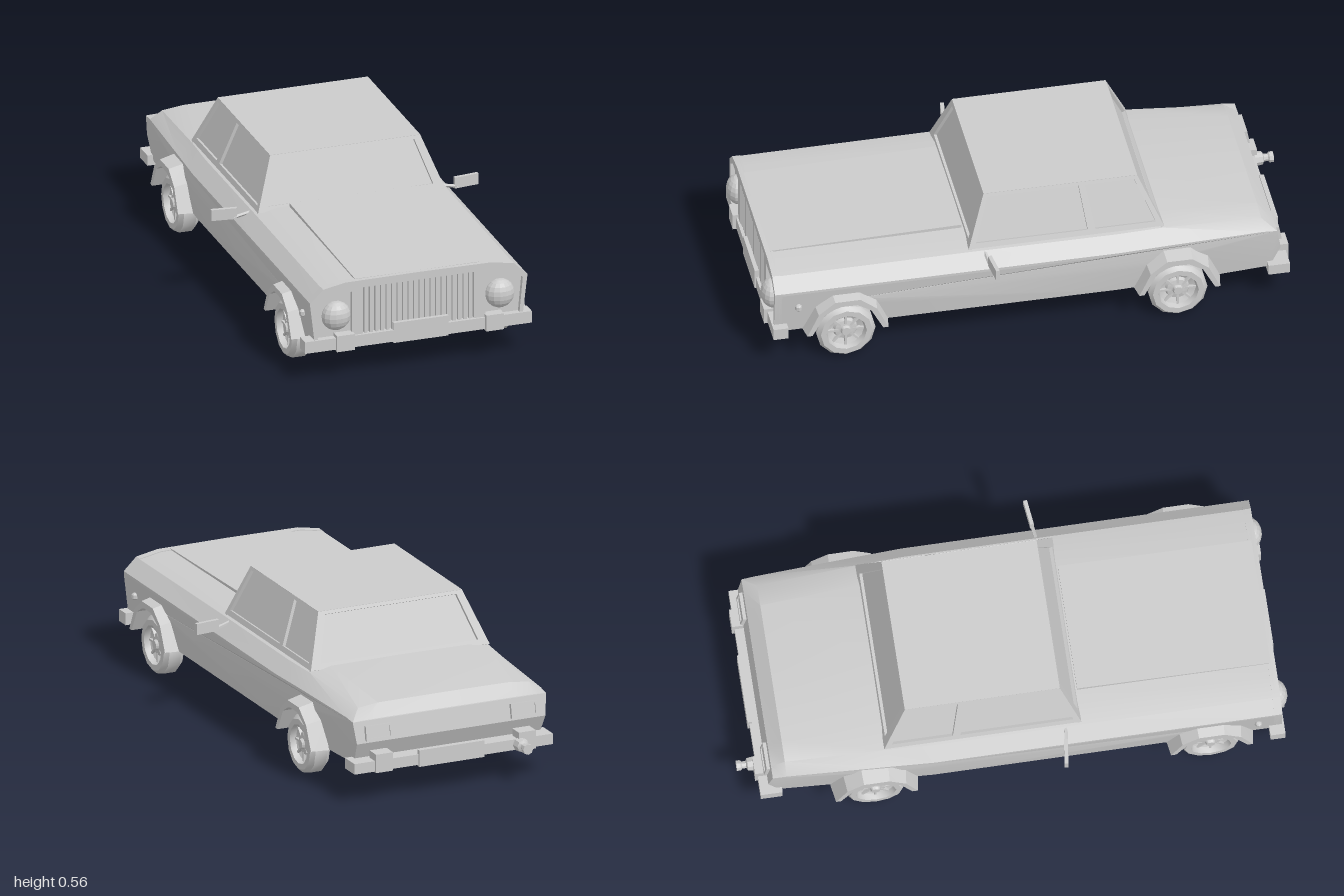
import * as THREE from 'three';
import { toCreasedNormals } from 'three/addons/utils/BufferGeometryUtils.js';

const mat = new THREE.MeshStandardMaterial({ color: 0xcccccc, side: THREE.DoubleSide });
const V = (x, y, z) => new THREE.Vector3(x, y, z);

export function createModel() {
  const car = new THREE.Group();
  car.name = 'car';

  const add = (name, geo, parent = car, crease = 0.5) => {
    const mesh = new THREE.Mesh(toCreasedNormals(geo, crease), mat);
    mesh.name = name;
    parent.add(mesh);
    return mesh;
  };
  // box given by its lower and upper corners
  const box = (name, x0, x1, y0, y1, z0, z1, parent = car) => {
    const mesh = add(name, new THREE.BoxGeometry(x1 - x0, y1 - y0, z1 - z0), parent);
    mesh.position.set((x0 + x1) / 2, (y0 + y1) / 2, (z0 + z1) / 2);
    return mesh;
  };
  const shapeOf = pts => new THREE.Shape(pts.map(p => new THREE.Vector2(...p)));
  const extrude = (shape, depth) => new THREE.ExtrudeGeometry(shape, { depth, bevelEnabled: false });
  // side profile of [z, y] points, extruded along x from x0 to x1
  const sideExtrude = (pts, x0, x1) =>
    extrude(shapeOf(pts.map(([z, y]) => [-z, y])), x1 - x0).rotateY(Math.PI / 2).translate(x0, 0, 0);
  const moveVertices = (geo, rule) => {
    const p = geo.attributes.position;
    const v = V(0, 0, 0);
    for (let i = 0; i < p.count; i++) {
      rule(v.fromBufferAttribute(p, i));
      p.setXYZ(i, v.x, v.y, v.z);
    }
    return geo;
  };
  // skin over rings of equal length
  const loft = rings => {
    const n = rings[0].length, index = [];
    for (let i = 0; i < rings.length - 1; i++)
      for (let j = 0; j < n - 1; j++) {
        const a = i * n + j, c = a + n;
        index.push(a, c, a + 1, a + 1, c, c + 1);
      }
    const g = new THREE.BufferGeometry().setFromPoints(rings.flat());
    g.setIndex(index);
    return g;
  };

  // lower body with wheel tunnels, narrowing to the floor and to the tail
  const wheelZ = [0.705, -0.515];
  const arch = [[-0.13, 0.13], [-0.085, 0.215], [-0.035, 0.245], [0.035, 0.245], [0.085, 0.215], [0.13, 0.13]];
  const archAt = z => arch.map(([dz, y]) => [z + dz, y]);
  const taper = z => 1 - Math.max(0, -0.3 - z) * 0.12;
  const lower = sideExtrude([
    [0.94, 0.13], [0.94, 0.3], [-0.3, 0.3], [-0.885, 0.3], [-0.9, 0.22], [-0.86, 0.135],
    ...archAt(wheelZ[1]), [-0.3, 0.13], ...archAt(wheelZ[0]),
  ], -1, 1);
  add('lowerBody', moveVertices(lower, v => {
    v.x = Math.sign(v.x) * (0.395 + (v.y - 0.13) / 0.17 * 0.02) * taper(v.z);
  }));

  // upper body: bonnet, shoulders and boot
  const half = [[0.415, 0.3], [0.415, 0.31], [0.365, 0.358], [0.28, 0.374]];
  const section = [...half, [0, 0.376], ...half.map(([x, y]) => [-x, y]).reverse()];
  const stations = [[0.94, 0.373], [0.24, 0.378], [-0.3, 0.376], [-0.47, 0.375], [-0.835, 0.345], [-0.885, 0.303]];
  add('upperBody', loft(stations.map(([z, top]) =>
    section.map(([x, y]) => V(x * taper(z), 0.3 + (y - 0.3) * (top - 0.3) / 0.076, z)))));
  add('bonnetPanel', moveVertices(new THREE.BoxGeometry(0.475, 0.04, 0.705).translate(0, 0.36, 0.5975), v => {
    if (v.y > 0.37) v.y = v.z < 0.5 ? 0.389 : 0.376;
  }));

  // front panel with openings for the grille and headlights
  const outline = [[0.395, 0.13], ...section, [-0.395, 0.13]];
  const front = shapeOf(outline);
  front.holes.push(shapeOf([[-0.212, 0.16], [0.212, 0.16], [0.212, 0.346], [-0.212, 0.346]]));
  for (const s of [1, -1])
    front.holes.push(shapeOf([[0.255, 0.16], [0.255, 0.335], [0.355, 0.335], [0.398, 0.3], [0.385, 0.16]]
      .map(([x, y]) => [s * x, y])));
  add('frontPanel', extrude(front, 0.022).translate(0, 0, 0.945));
  add('frontBacking', extrude(shapeOf(outline), 0.012).translate(0, 0, 0.938));
  for (let i = 0; i < 20; i++) {
    const x = -0.2 + i * 0.4 / 19;
    box('grilleBar', x - 0.006, x + 0.006, 0.16, 0.346, 0.945, 0.964);
  }

  // cabin: inset glass block, roof and window frames
  const rect = (x, y, z0, z1) => [V(x, y, z1), V(-x, y, z1), V(-x, y, z0), V(x, y, z0), V(x, y, z1)];
  add('glass', loft([rect(0.343, 0.365, -0.46, 0.23), rect(0.276, 0.548, -0.38, 0.165)].reverse()));
  box('roof', -0.287, 0.287, 0.545, 0.556, -0.39, 0.175);
  const bx = 0.357, tx = 0.287, by = 0.365, ty = 0.555;
  const panel = (name, corners, holes) => {
    const [bl, br, , tl] = corners;
    const u = br.clone().sub(bl).normalize();
    const n = u.clone().cross(tl.clone().sub(bl)).normalize();
    const w = n.clone().cross(u);
    const flat = corners.map(c => c.clone().sub(bl)).map(d => [d.dot(u), d.dot(w)]);
    const at = ([s, t]) => [0, 1].map(k =>
      (flat[0][k] * (1 - s) + flat[1][k] * s) * (1 - t) + (flat[3][k] * (1 - s) + flat[2][k] * s) * t);
    const shape = shapeOf(flat);
    for (const [s0, s1] of holes)
      shape.holes.push(shapeOf([[s0, 0.1], [s1, 0.1], [s1, 0.94], [s0, 0.94]].map(at)));
    const m = new THREE.Matrix4().makeBasis(u, w, n).setPosition(bl);
    add(name, extrude(shape, 0.012).translate(0, 0, -0.012).applyMatrix4(m));
  };
  panel('windscreenFrame', [V(-bx, by, 0.243), V(bx, by, 0.243), V(tx, ty, 0.175), V(-tx, ty, 0.175)], [[0.05, 0.95]]);
  panel('rearWindowFrame', [V(bx, by, -0.475), V(-bx, by, -0.475), V(-tx, ty, -0.39), V(tx, ty, -0.39)], [[0.05, 0.95]]);
  panel('leftWindowFrame', [V(bx, by, 0.243), V(bx, by, -0.475), V(tx, ty, -0.39), V(tx, ty, 0.175)], [[0.03, 0.615], [0.655, 0.97]]);
  panel('rightWindowFrame', [V(-bx, by, -0.475), V(-bx, by, 0.243), V(-tx, ty, 0.175), V(-tx, ty, -0.39)], [[0.03, 0.345], [0.385, 0.97]]);

  // wheels and flared arches
  const tyre = [[0, -0.03], [0.07, -0.034], [0.095, -0.04], [0.109, -0.024], [0.109, 0.024], [0.095, 0.04], [0.074, 0.04],
    [0.068, 0.018], [0.046, 0.008], [0.04, 0.02], [0.02, 0.024], [0.016, 0.034], [0, 0.034]].map(p => new THREE.Vector2(...p));
  const flareOuter = [[0.16, 0.13], [0.115, 0.235], [0.05, 0.283], [-0.05, 0.283], [-0.115, 0.235], [-0.16, 0.13]];
  for (const s of [1, -1])
    for (const z of wheelZ) {
      const wheel = new THREE.Group();
      wheel.name = 'wheel';
      add('tyreAndRim', new THREE.LatheGeometry(tyre, 12), wheel, 0.6);
      for (let i = 0; i < 8; i++) {
        const spoke = add('spoke', new THREE.BoxGeometry(0.042, 0.012, 0.008).translate(0.046, 0.017, 0), wheel);
        spoke.rotation.y = i * Math.PI / 4;
      }
      wheel.rotation.z = -s * Math.PI / 2;
      wheel.position.set(s * 0.385, 0.11, z);
      car.add(wheel);

      const ring = [...archAt(z), ...flareOuter.map(([dz, y]) => [z + dz, y])];
      const flare = sideExtrude(ring, s > 0 ? 0.38 : -0.447, s > 0 ? 0.447 : -0.38);
      add('wheelArch', moveVertices(flare, v => {
        const outer = Math.abs(v.z - z) > 0.14 || v.y > 0.25 || (v.y > 0.22 && Math.abs(v.z - z) > 0.1);
        if (Math.abs(v.x) > 0.43 && outer) {
          v.z = z + (v.z - z) * 0.93;
          if (v.y > 0.2) v.y -= 0.016;
        }
      }), car, 0.3);
    }

  for (const s of [1, -1]) {
    // lamps
    const lamp = add('headlight', new THREE.SphereGeometry(0.055, 14, 10), car, 0.3);
    lamp.scale.z = 0.75;
    lamp.position.set(s * 0.313, 0.247, 0.958);
    add('sideLamp', new THREE.SphereGeometry(0.014, 8, 6)).position.set(s * 0.413, 0.24, 0.88);
    const tail = new THREE.Group();
    tail.name = 'tailLight';
    box('lens', -0.045, 0.045, -0.02, 0.02, -0.006, 0.01, tail);
    for (const k of [1, -1]) {
      box('rim', -0.052, 0.052, k * 0.023 - 0.004, k * 0.023 + 0.004, -0.011, 0.01, tail);
      box('rim', k * 0.048 - 0.004, k * 0.048 + 0.004, -0.027, 0.027, -0.011, 0.01, tail);
    }
    tail.position.set(s * 0.29, 0.255, -0.895);
    tail.rotation.x = 0.18;
    car.add(tail);

    // door mirrors
    const mirror = add('mirror', new THREE.BoxGeometry(0.095, 0.042, 0.014));
    mirror.position.set(s * 0.463, 0.35, 0.172);
    mirror.rotation.y = s * 0.12;
    const arm = new THREE.LineCurve3(V(s * 0.36, 0.352, 0.185), V(s * 0.425, 0.335, 0.178));
    add('mirrorArm', new THREE.TubeGeometry(arm, 1, 0.007, 5));

    // bumper guards
    box('frontGuard', s * 0.285 - 0.034, s * 0.285 + 0.034, 0.115, 0.177, 0.93, 0.988);
    box('rearGuard', s * 0.285 - 0.034, s * 0.285 + 0.034, 0.115, 0.185, -0.94, -0.885);
  }

  // bumpers, plates and tow hook
  box('frontBumper', -0.437, 0.43, 0.12, 0.165, 0.92, 0.975);
  box('frontPlate', -0.1, 0.11, 0.117, 0.195, 0.965, 0.98);
  box('rearBumper', -0.392, 0.4, 0.118, 0.158, -0.93, -0.85);
  box('rearPlate', -0.115, 0.145, 0.112, 0.175, -0.937, -0.92);
  const hook = [[0.028, 0], [0.024, 0.03], [0.014, 0.035], [0.014, 0.05], [0.02, 0.055], [0.02, 0.07], [0, 0.07]]
    .map(p => new THREE.Vector2(...p));
  add('towHook', new THREE.LatheGeometry(hook, 8).rotateX(-Math.PI / 2)).position.set(-0.26, 0.138, -0.93);

  return car;
}
